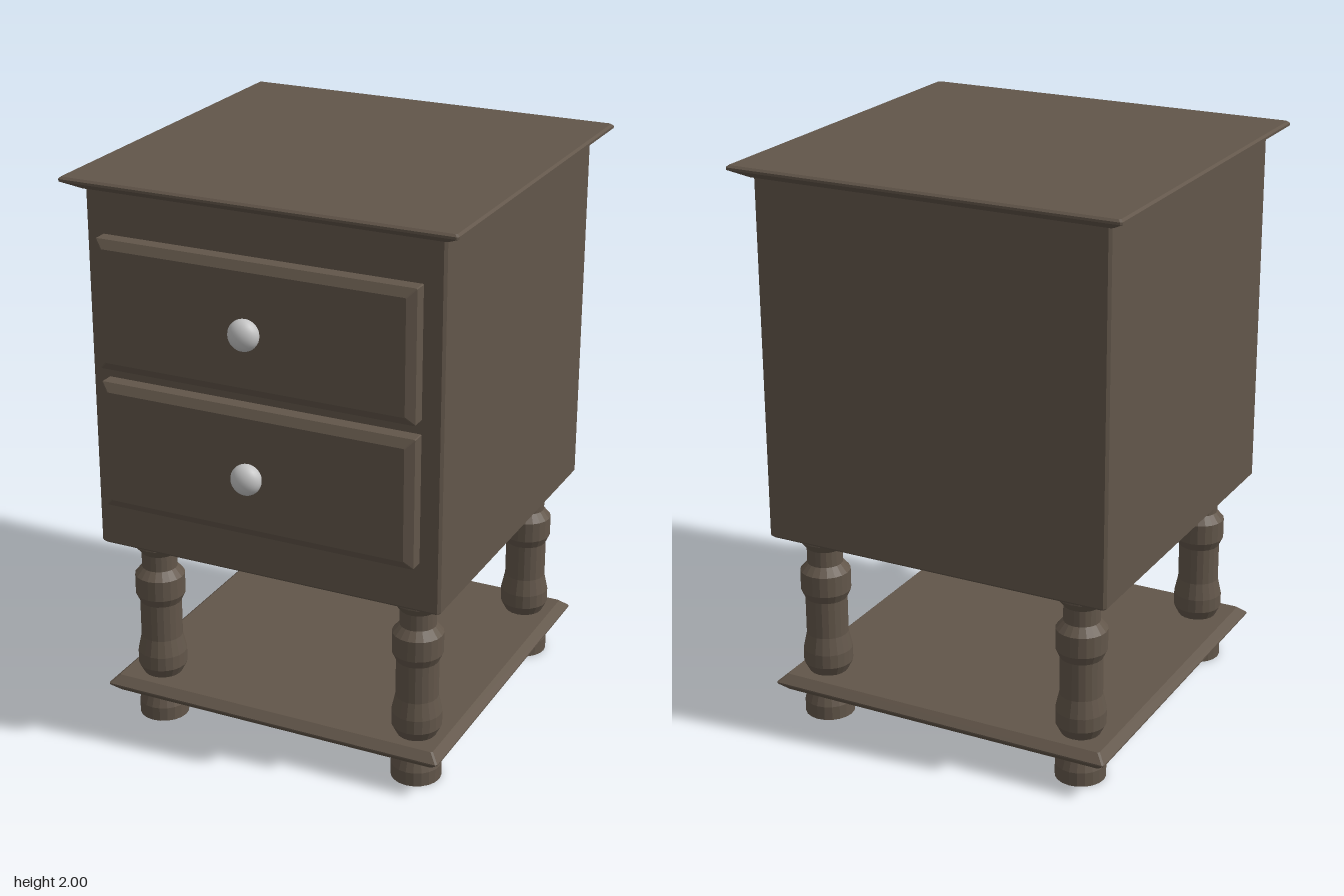
import * as THREE from 'three';

const wood = new THREE.MeshStandardMaterial({ name: 'dark wood', color: 0x62564a });
const metal = new THREE.MeshStandardMaterial({ name: 'knob metal', color: 0xc4c4c4 });

// Flat-faced solid through stacked rectangles [y, halfX, halfZ] with clipped corners
function slab(sections, clip) {
  const rings = sections.map(([y, a, b]) => [
    [a, b - clip], [a - clip, b], [clip - a, b], [-a, b - clip],
    [-a, clip - b], [clip - a, -b], [a - clip, -b], [a, clip - b],
  ].map(([x, z]) => new THREE.Vector3(x, y, z)));
  const pts = [];
  const n = 8;
  for (let s = 0; s < rings.length - 1; s++) {
    for (let i = 0; i < n; i++) {
      const j = (i + 1) % n;
      const [a, b, c, d] = [rings[s][i], rings[s][j], rings[s + 1][j], rings[s + 1][i]];
      pts.push(a, c, b, a, d, c);
    }
  }
  const bottom = rings[0], top = rings[rings.length - 1];
  for (let i = 1; i < n - 1; i++) {
    pts.push(bottom[0], bottom[i], bottom[i + 1]);
    pts.push(top[0], top[i + 1], top[i]);
  }
  const geo = new THREE.BufferGeometry().setFromPoints(pts);
  geo.computeVertexNormals();
  return geo;
}

function add(parent, name, geometry, material, x, y, z) {
  const mesh = new THREE.Mesh(geometry, material);
  mesh.name = name;
  mesh.position.set(x, y, z);
  parent.add(mesh);
  return mesh;
}

// Turned leg: each straight run of the profile is its own band, so rims stay crisp
function legGeometry() {
  const profile = [
    [0, 0], [0.087, 0], [0.087, 0.05], [0.068, 0.105], [0.068, 0.165],
    [0.086, 0.2], [0.086, 0.25], [0.073, 0.31], [0.073, 0.445],
    [0.087, 0.475], [0.087, 0.548], [0.062, 0.577], [0.062, 0.633],
    [0.087, 0.665], [0.087, 0.7], [0, 0.7],
  ];
  const points = [];
  for (let i = 0; i < profile.length - 1; i++) {
    points.push(new THREE.Vector2(...profile[i]), new THREE.Vector2(...profile[i + 1]));
  }
  const geo = new THREE.LatheGeometry(new THREE.Vector2 ? profile.map((p) => new THREE.Vector2(...p)) : points, 20).toNonIndexed();
  geo.computeVertexNormals();
  return geo;
}

export function createModel() {
  const group = new THREE.Group();
  group.name = 'nightstand';
  const cz = -0.042;

  // Cabinet body with softened edges
  add(group, 'cabinet', slab([
    [0.693, 0.622, 0.622], [0.702, 0.631, 0.631], [1.955, 0.631, 0.631], [1.962, 0.625, 0.625],
  ], 0.009), wood, 0, 0, cz);

  // Overhanging top
  add(group, 'top', slab([
    [1.955, 0.64, 0.64], [1.985, 0.693, 0.693], [1.993, 0.693, 0.693], [2, 0.685, 0.685],
  ], 0.006), wood, 0, 0, cz);

  // Lower shelf with a pointed edge
  add(group, 'shelf', slab([
    [0.105, 0.602, 0.602], [0.133, 0.631, 0.631], [0.138, 0.631, 0.631], [0.165, 0.602, 0.602],
  ], 0.006), wood, 0, 0, cz);

  // Four turned legs
  const leg = legGeometry();
  for (const x of [-0.484, 0.499]) {
    for (const z of [0.455, -0.536]) add(group, 'leg', leg, wood, x, 0, z);
  }

  // Two raised drawer fronts, each with a flattened round knob on a short stem
  const front = slab([[0, 0.564, 0.224], [0.057, 0.564, 0.224], [0.075, 0.535, 0.195]], 0.003);
  const knob = new THREE.SphereGeometry(0.053, 24, 16);
  knob.scale(1, 1, 0.77);
  const stem = new THREE.CylinderGeometry(0.014, 0.014, 0.03, 12);
  for (const y of [1.093, 1.587]) {
    const drawerY = y < 1.3 ? 1.092 : 1.586;
    add(group, 'drawerFront', front, wood, -0.006, drawerY, 0.58).rotation.x = Math.PI / 2;
    add(group, 'knobStem', stem, metal, -0.004, y, 0.663).rotation.x = Math.PI / 2;
    add(group, 'knob', knob, metal, -0.004, y + 0.003, 0.699);
  }
  return group;
}
